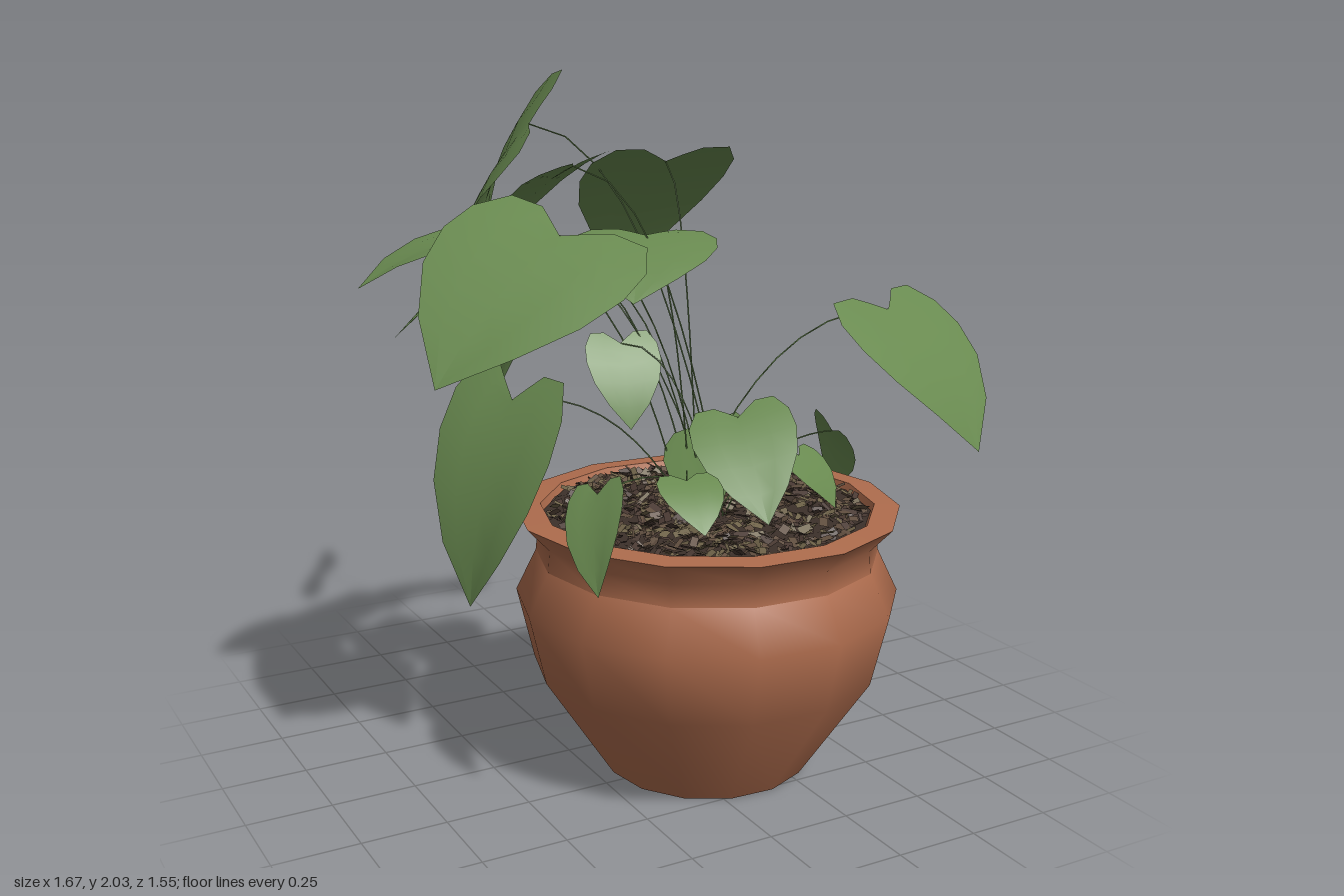
import * as THREE from 'three';
import { mergeGeometries } from 'three/addons/utils/BufferGeometryUtils.js';

const mat = (name, color, side = THREE.FrontSide) => {
  const m = new THREE.MeshStandardMaterial({ color, side });
  m.name = name;
  return m;
};
const V = (a) => new THREE.Vector3(...a);
const UP = new THREE.Vector3(0, 1, 0);

// Pot centre and the small seeded random generator for the soil
const CX = 0.105, CZ = 0.215, SIDES = 14, TURN = 0.17;
let seed = 7;
const rand = () => (seed = (seed * 16807) % 2147483647) / 2147483647;

// Leaf stations: [midrib u, edge u, half width]; the first rows form the lobes of the heart
const ROWS = [
  [0, -0.14, 0.4], [0.03, -0.14, 0.76], [0.12, 0.02, 0.97], [0.28, 0.22, 1],
  [0.5, 0.46, 0.87], [0.75, 0.73, 0.53], [1, 1, 0],
];

// Heart-shaped blade from stem joint to tip, level across unless rolled about its midrib
function leafGeometry(base, tip, width, roll = 0) {
  const b = V(base), along = V(tip).sub(b);
  const len = along.length(), axis = along.clone().normalize();
  const s = along.clone().cross(UP).setLength(width).applyAxisAngle(axis, roll);
  const n = s.clone().cross(axis).normalize();
  const at = (u, w) => {
    const bow = 0.3 * len * u * (1 - u) - 0.12 * width * w * w + 0.06 * len * Math.abs(w);
    return b.clone().addScaledVector(along, u).addScaledVector(s, w).addScaledVector(n, bow);
  };
  const pos = [], idx = [];
  ROWS.forEach(([mid, edge, w]) => {
    [-1, -0.5, 0, 0.5, 1].forEach((k) => {
      pos.push(...at(mid + (edge - mid) * Math.abs(k), w * k).toArray());
    });
  });
  for (let r = 0; r < ROWS.length - 1; r++) {
    for (let c = 0; c < 4; c++) {
      const i = r * 5 + c;
      idx.push(i, i + 1, i + 5, i + 1, i + 6, i + 5);
    }
  }
  const g = new THREE.BufferGeometry();
  g.setAttribute('position', new THREE.Float32BufferAttribute(pos, 3));
  g.setIndex(idx);
  g.computeVertexNormals();
  return g;
}

// Very thin arching stalk from the soil to the leaf joint
function stemGeometry(root, end) {
  const a = V(root), e = V(end);
  const ctrl = a.clone().lerp(e, 0.4).setY(a.y + (e.y - a.y) * 0.95 + 0.05);
  return new THREE.TubeGeometry(new THREE.QuadraticBezierCurve3(a, ctrl, e), 10, 0.0025, 3);
}

// Each leaf: stem joint, tip, half width, optional roll
const LEAVES = [
  // tall back leaves
  [[-0.19, 1.87, -0.35], [-0.16, 1.5, -0.78], 0.24, -0.95],
  [[0.11, 1.77, -0.05], [0.17, 1.38, -0.44], 0.23],
  [[-0.17, 1.48, -0.2], [-0.17, 1.02, -0.64], 0.16, -0.3],
  [[-0.2, 1.77, -0.03], [-0.27, 1.54, -0.34], 0.13, -0.2],
  // leaves spreading to the right side
  [[-0.3, 1.5, -0.13], [-0.65, 1.27, -0.31], 0.23],
  [[-0.45, 1.6, -0.04], [-0.83, 1.46, -0.09], 0.16],
  [[-0.39, 1.62, 0.27], [-0.8, 1.27, 0.39], 0.3, -0.32],
  [[-0.43, 1.13, 0.03], [-0.57, 0.53, 0.02], 0.2, -0.55],
  [[-0.4, 0.97, 0.5], [-0.47, 0.74, 0.64], 0.09, 0.6],
  // middle leaves
  [[-0.04, 1.58, 0.1], [-0.2, 1.43, 0.33], 0.21],
  [[-0.22, 1.48, 0.05], [-0.38, 1.36, 0.18], 0.15],
  [[-0.13, 1.28, 0.12], [-0.15, 1.05, 0.22], 0.11],
  // left side leaves
  [[0.56, 1.37, 0.45], [0.68, 1.0, 0.73], 0.27],
  [[0.64, 0.92, 0.08], [0.71, 0.69, -0.04], 0.1, 0.95],
  // low front leaves
  [[0.13, 1.08, 0.34], [0.09, 0.83, 0.57], 0.15, 0.3],
  [[0.08, 1.02, 0.24], [-0.01, 0.84, 0.45], 0.13, 0.5],
  [[0.3, 0.96, 0.4], [0.36, 0.82, 0.5], 0.1],
  [[-0.13, 0.97, 0.5], [-0.16, 0.86, 0.65], 0.09],
];

export function createModel() {
  const model = new THREE.Group();
  model.name = 'pottedPlant';
  const clay = mat('terracotta', 0xae6c4d);
  const green = mat('leafGreen', 0x698a50, THREE.DoubleSide);
  const soilMat = mat('darkSoil', 0x3c302a);
  const chipMats = [
    mat('darkBark', 0x4a3a33, THREE.DoubleSide),
    mat('brownBark', 0x5f4d3e, THREE.DoubleSide),
    mat('paleBark', 0x6e6248, THREE.DoubleSide),
  ];
  const add = (name, geometry, material, parent) => {
    const m = new THREE.Mesh(geometry, material);
    m.name = name;
    parent.add(m);
    return m;
  };

  // Pot: base disc, bulging body, flared rim with a short inner wall
  const pot = new THREE.Group();
  pot.name = 'pot';
  pot.position.set(CX, 0, CZ);
  model.add(pot);
  const lathe = (name, pts) => {
    const profile = pts.map((p) => new THREE.Vector2(...p));
    add(name, new THREE.LatheGeometry(profile, SIDES, TURN), clay, pot);
  };
  lathe('potBase', [[0, 0], [0.305, 0]]);
  lathe('potBody', [[0.305, 0], [0.515, 0.32], [0.565, 0.53], [0.505, 0.655]]);
  lathe('potNeck', [[0.505, 0.655], [0.5, 0.72], [0.565, 0.79]]);
  lathe('potLip', [[0.565, 0.79], [0.49, 0.795]]);
  lathe('potInside', [[0.49, 0.795], [0.47, 0.74]]);

  // Soil bed covered in loose bark chips
  const soil = new THREE.CircleGeometry(0.48, SIDES);
  soil.rotateX(-Math.PI / 2);
  soil.rotateY(TURN + Math.PI / 2);
  add('soil', soil, soilMat, pot).position.y = 0.775;
  const chips = [[], [], []];
  for (let i = 0; i < 1300; i++) {
    const r = 0.46 * Math.sqrt(rand()), a = rand() * Math.PI * 2;
    const g = new THREE.PlaneGeometry(0.02 + rand() * 0.03, 0.012 + rand() * 0.014);
    g.rotateX(-Math.PI / 2 + (rand() - 0.5) * 1.5);
    g.rotateZ((rand() - 0.5) * 1.1);
    g.rotateY(rand() * Math.PI * 2);
    g.translate(r * Math.cos(a), 0.779 + rand() * 0.016, r * Math.sin(a));
    chips[i % 3].push(g);
  }
  chips.forEach((list, i) => add('barkChips', mergeGeometries(list), chipMats[i], pot));

  // Foliage: every leaf with its stalk
  LEAVES.forEach(([base, tip, width, roll], i) => {
    const plant = new THREE.Group();
    plant.name = 'leafWithStem';
    model.add(plant);
    add('leaf', leafGeometry(base, tip, width, roll), green, plant);
    const a = i * 2.4, root = [0.08 + 0.06 * Math.cos(a), 0.77, 0.24 + 0.06 * Math.sin(a)];
    add('stem', stemGeometry(root, base), green, plant);
  });
  return model;
}
